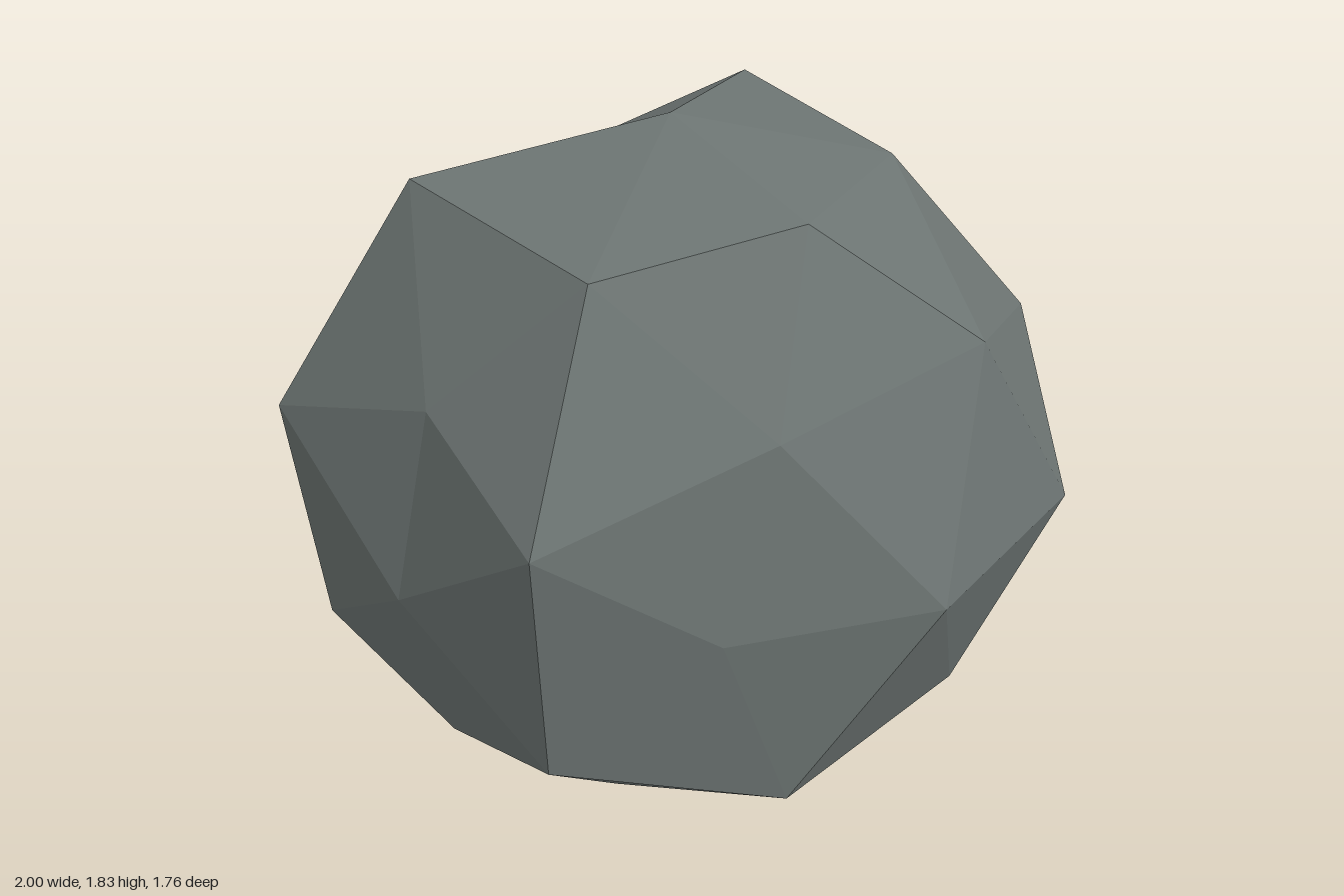
import * as THREE from 'three';

// Radius of each point of a once-divided icosahedron, grouped by the number of
// non-zero direction components, then by dominant axis (x, y, z). Inside a
// list the signs run from all positive to all negative, last axis fastest.
const RADII = {
  1: [[1.06, 0.94], [1.04, 1.0], [1.124, 0.875]],
  2: [
    [1.046, 1.187, 0.945, 0.96],
    [1.045, 0.95, 1.147, 0.985],
    [1.19, 0.96, 0.945, 1.02],
  ],
  3: [
    [1.113, 1.015, 1.08, 0.95, 1.095, 1.137, 1.065, 1.075],
    [1.06, 1.145, 1.1, 1.14, 1.04, 1.16, 0.945, 0.88],
    [1.1, 1.0, 1.085, 0.945, 0.975, 1.125, 1.1, 0.98],
  ],
};
const CENTRE = new THREE.Vector3(-0.061, 0.807, -0.092);
const STRETCH = new THREE.Vector3(1, 0.98, 0.865);

function radiusFor(direction) {
  const parts = direction.toArray();
  const used = parts.filter((c) => Math.abs(c) > 0.01);
  const sizes = parts.map(Math.abs);
  const axis = sizes.indexOf(Math.max(...sizes));
  const index = used.reduce((bits, c) => bits * 2 + (c < 0 ? 1 : 0), 0);
  return RADII[used.length][axis][index];
}

export function createModel() {
  const group = new THREE.Group();
  group.name = 'boulder';

  const stone = new THREE.MeshStandardMaterial({ color: 0x6b7371, flatShading: true });
  stone.name = 'grey stone';

  // Irregular faceted rock, its underside flattened on the ground
  const geometry = new THREE.IcosahedronGeometry(1, 1).rotateY(Math.PI / 2);
  const position = geometry.attributes.position;
  const point = new THREE.Vector3();
  for (let i = 0; i < position.count; i++) {
    point.fromBufferAttribute(position, i).normalize();
    point.multiplyScalar(radiusFor(point)).multiply(STRETCH).add(CENTRE);
    position.setXYZ(i, point.x, Math.max(point.y, 0), point.z);
  }
  geometry.computeVertexNormals();

  const rock = new THREE.Mesh(geometry, stone);
  rock.name = 'rock';
  group.add(rock);
  return group;
}
